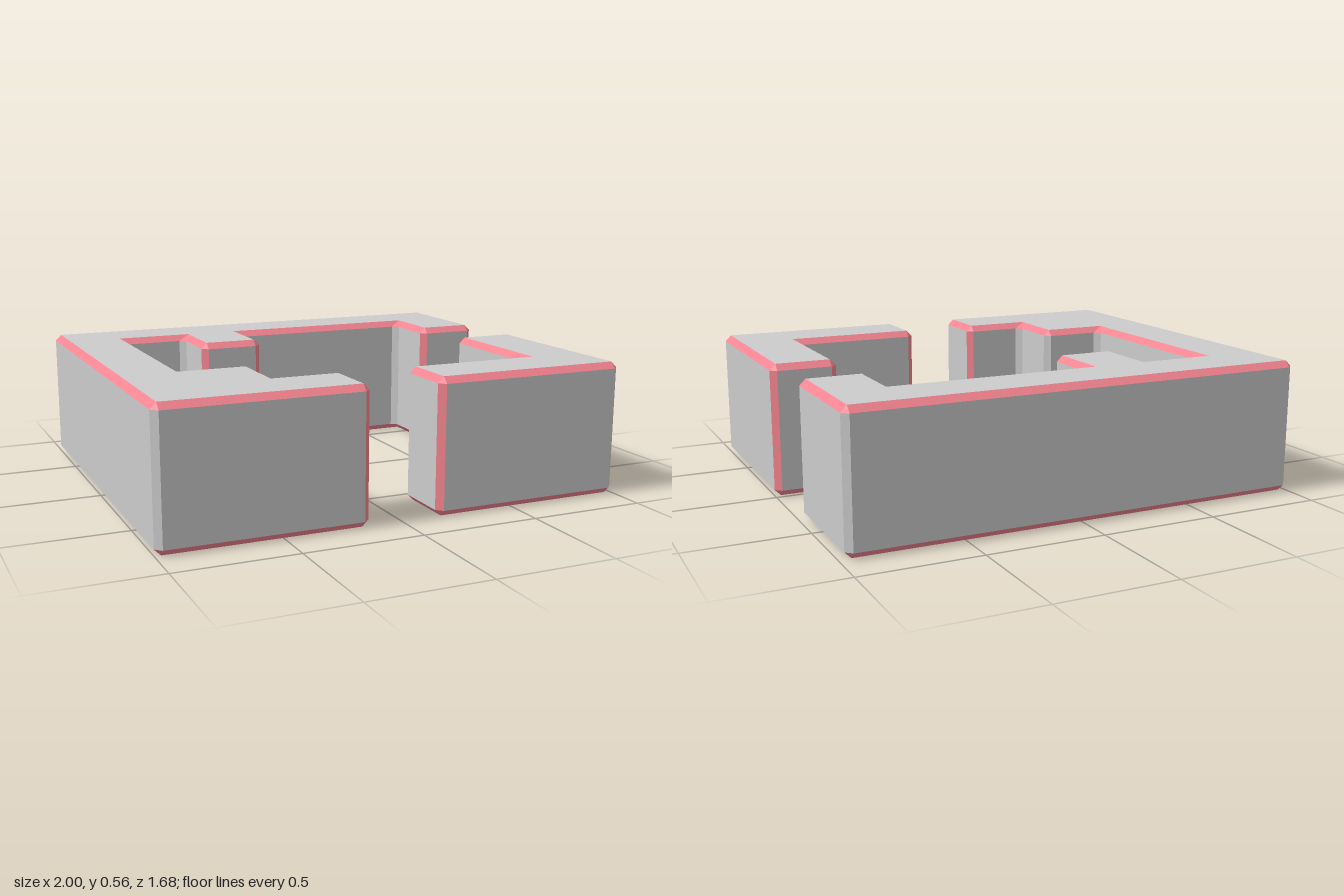
import * as THREE from 'three';

const HEIGHT = 0.565;
const BEVEL = 0.026;

// Wall outlines as [x, z, edge]; a corner marked 1 has a coloured vertical chamfer
const MAIN = [
  [-1, -0.845], [0.975, -0.845], [0.975, -0.295, 1], [0.695, -0.295, 1],
  [0.695, -0.57], [-0.16, -0.57], [-0.16, -0.29, 1], [-0.44, -0.29, 1],
  [-0.44, -0.57], [-0.72, -0.57], [-0.72, 0.28], [-0.43, 0.28],
  [-0.43, 0.56], [-0.145, 0.56, 1], [-0.145, 0.84, 1], [-1, 0.84],
];
const CORNER = [
  [0.715, 0, 1], [1, 0, 1], [1, 0.84], [0.15, 0.84, 1], [0.15, 0.56, 1], [0.715, 0.56],
];

// Collects flat polygons as a triangle list
function faceList() {
  const pos = [];
  return {
    add(...pts) {
      for (let i = 1; i < pts.length - 1; i++) pos.push(...pts[0], ...pts[i], ...pts[i + 1]);
    },
    mesh(name, material) {
      const geo = new THREE.BufferGeometry();
      geo.setAttribute('position', new THREE.Float32BufferAttribute(pos, 3));
      geo.computeVertexNormals();
      const mesh = new THREE.Mesh(geo, material);
      mesh.name = name;
      return mesh;
    },
  };
}

function wallBlock(name, outline, grey, pink) {
  const group = new THREE.Group();
  group.name = name;
  const n = outline.length;
  const lo = BEVEL, hi = HEIGHT - BEVEL;
  const at = (p, y) => [p[0], y, p[1]];

  // Each corner: end of the incoming wall, start of the outgoing wall, inset cap point
  const corners = outline.map(([x, z, edge], i) => {
    const prev = outline[(i + n - 1) % n], next = outline[(i + 1) % n];
    const d1 = [Math.sign(x - prev[0]), Math.sign(z - prev[1])];
    const d2 = [Math.sign(next[0] - x), Math.sign(next[1] - z)];
    return {
      edge,
      a: [x - BEVEL * d1[0], z - BEVEL * d1[1]],
      b: [x + BEVEL * d2[0], z + BEVEL * d2[1]],
      cap: [x - BEVEL * (d1[1] + d2[1]), z + BEVEL * (d1[0] + d2[0])],
    };
  });

  const walls = faceList(), trim = faceList();
  const upright = (list, p, q) => list.add(at(q, lo), at(p, lo), at(p, hi), at(q, hi));
  corners.forEach((c, i) => {
    const next = corners[(i + 1) % n];
    // Wall and vertical chamfer
    upright(walls, c.b, next.a);
    upright(c.edge ? trim : walls, c.a, c.b);
    // Sloped trim around the top and bottom
    trim.add(at(next.a, hi), at(c.b, hi), at(c.cap, HEIGHT), at(next.cap, HEIGHT));
    trim.add(at(c.b, lo), at(next.a, lo), at(next.cap, 0), at(c.cap, 0));
    // Corner triangles
    trim.add(at(c.b, hi), at(c.a, hi), at(c.cap, HEIGHT));
    trim.add(at(c.a, lo), at(c.b, lo), at(c.cap, 0));
  });
  group.add(walls.mesh('walls', grey), trim.mesh('bevelTrim', pink));

  // Flat caps
  for (const top of [true, false]) {
    const s = top ? -1 : 1;
    const shape = new THREE.Shape(corners.map((c) => new THREE.Vector2(c.cap[0], s * c.cap[1])));
    const cap = new THREE.Mesh(new THREE.ShapeGeometry(shape).rotateX(s * Math.PI / 2), grey);
    cap.name = top ? 'topFace' : 'bottomFace';
    cap.position.y = top ? HEIGHT : 0;
    group.add(cap);
  }
  return group;
}

export function createModel() {
  const grey = new THREE.MeshStandardMaterial({ color: 0xcccccc, flatShading: true });
  const pink = new THREE.MeshStandardMaterial({ color: 0xf58490, flatShading: true });
  const model = new THREE.Group();
  model.name = 'wallEnclosure';
  model.add(wallBlock('mainWall', MAIN, grey, pink));
  model.add(wallBlock('cornerWall', CORNER, grey, pink));
  return model;
}
